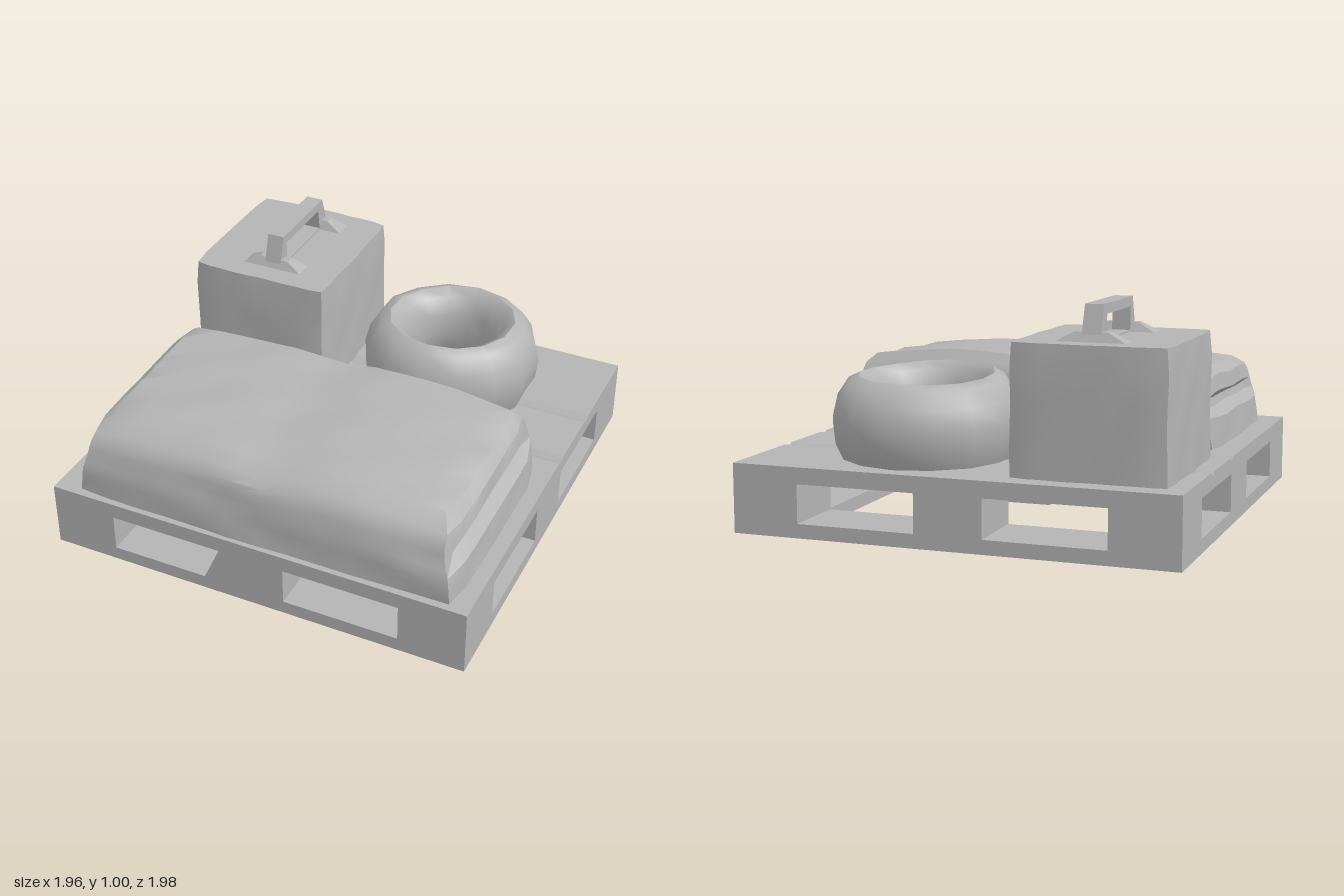
import * as THREE from 'three';
import { mergeVertices, toCreasedNormals } from 'three/addons/utils/BufferGeometryUtils.js';

const grey = new THREE.MeshStandardMaterial({ color: 0xb4b4b4 });
grey.name = 'plain grey';

function add(parent, name, geo) {
  const mesh = new THREE.Mesh(geo, grey);
  mesh.name = name;
  parent.add(mesh);
  return mesh;
}

// Position-based wobble for a worn, soft look
const wobble = (a, b, c) => Math.sin(a * 7.3 + b * 4.1) * Math.cos(c * 6.7 + a * 2.9);

// Moves every vertex by a rule, welds the seams and keeps only sharp edges creased
function warp(geo, rule, crease = 0.7) {
  geo.deleteAttribute('normal');
  geo.deleteAttribute('uv');
  const g = mergeVertices(geo, 1e-4);
  const p = g.attributes.position;
  for (let i = 0; i < p.count; i++) p.setXYZ(i, ...rule(p.getX(i), p.getY(i), p.getZ(i)));
  return toCreasedNormals(g, crease);
}

// Piecewise linear lookup: pairs of [position, value]
function curve(pairs, t) {
  let i = 0;
  while (i < pairs.length - 2 && t > pairs[i + 1][0]) i++;
  const [a, va] = pairs[i], [b, vb] = pairs[i + 1];
  return va + (vb - va) * THREE.MathUtils.clamp((t - a) / (b - a), 0, 1);
}

function outline(points, Type = THREE.Shape) {
  return new Type(points.map(([x, y]) => new THREE.Vector2(x, y)));
}

function extrude(shape, depth) {
  return new THREE.ExtrudeGeometry(shape, { depth, bevelEnabled: false });
}

function makePallet() {
  const pallet = new THREE.Group();
  pallet.name = 'pallet';
  const X = 0.98, Z = 0.99;

  // Deck with shallow grooves between the boards
  const top = [];
  for (const z of [-0.5, -0.15]) top.push([z - 0.03, 0.312], [z, 0.293], [z + 0.03, 0.312]);
  const deck = extrude(outline([[-Z, 0.24], [-Z, 0.312], ...top, [Z, 0.312], [Z, 0.24]].reverse()), 2 * X);
  deck.rotateY(-Math.PI / 2).translate(X, 0, 0);
  add(pallet, 'deck', deck);

  // Bottom frame with a square opening
  const rect = (a, b) => [[-a, -b], [a, -b], [a, b], [-a, b]];
  const ring = outline(rect(X, Z));
  ring.holes.push(outline(rect(0.69, 0.69).reverse(), THREE.Path));
  add(pallet, 'bottomFrame', extrude(ring, 0.062).rotateX(-Math.PI / 2).translate(0, 0.008, 0));

  // Nine spacer blocks, the centre one hanging free of the frame
  for (const ix of [-1, 0, 1]) for (const iz of [-1, 0, 1]) {
    const centre = !ix && !iz;
    const low = centre ? 0.04 : 0.05;
    const block = new THREE.BoxGeometry(0.3, 0.25 - low, 0.31);
    block.translate(ix * (X - 0.15), (0.25 + low) / 2, iz * (Z - 0.155));
    const p = block.attributes.position;
    // The front middle block leans outwards at its foot
    if (!ix && iz === 1) for (let i = 0; i < p.count; i++)
      if (p.getX(i) < 0 && p.getY(i) < 0.1) p.setX(i, -0.24);
    block.computeVertexNormals();
    add(pallet, centre ? 'centreBlock' : 'spacerBlock', block);
  }
  return pallet;
}

// Wrapped bundle: a slumped block with a fold pressed into each end
function makeBundle() {
  const front = [[0, 0.965], [0.4, 0.955], [0.78, 0.925], [0.9, 0.88], [1, 0.79]];
  const back = [[0, -0.02], [0.5, -0.045], [0.8, -0.01], [1, 0.05]];
  const end = [[0, 0.9], [0.4, 0.885], [0.6, 0.865], [0.9, 0.845], [1, 0.8]];
  const fold = [[0.4, 0], [0.5, 0.045], [0.6, 0.045], [0.7, 0]];
  const height = [[-0.85, 0.645], [-0.7, 0.655], [-0.25, 0.675], [0, 0.66], [0.15, 0.685], [0.5, 0.685], [0.85, 0.64]];
  return warp(new THREE.BoxGeometry(2, 1, 2, 12, 10, 8), (u, v, w) => {
    const t = v + 0.5;
    const inset = Math.abs(w) < 0.8 ? curve(fold, t) : 0;
    const x = 0.015 + u * (curve(end, t) - inset) * (1 - 0.03 * w ** 8);
    const z0 = curve(back, t), z1 = curve(front, t);
    const z = THREE.MathUtils.lerp(z0, z1, (w * (1 - 0.02 * u ** 8) + 1) / 2);
    const crown = curve(height, x) + (0.4 - z) * 0.04;
    const n = 0.007 * wobble(u, v * 2, w);
    return [x + n * 0.6, 0.305 + (crown - 0.305) * t + n * t, z + n];
  }, 0.6);
}

// Jerry can body: a soft box with rounded upright corners
function makeCanBody() {
  return warp(new THREE.BoxGeometry(2, 1, 2, 10, 5, 8), (u, v, w) => {
    const t = v + 0.5;
    const taper = t === 1 ? 0.98 : 1;
    const x = -0.56 + u * 0.34 * (1 - 0.035 * w ** 8) * taper;
    const z = -0.53 + w * 0.368 * (1 - 0.035 * u ** 8) * taper;
    const n = 0.005 * wobble(u, v * 2, w);
    return [x + n, 0.305 + 0.558 * t, z + n];
  }, 0.6);
}

function makeHandle() {
  const shape = outline([[-0.79, 0.855], [-0.28, 0.855], [-0.325, 1.012], [-0.735, 1.012]]);
  shape.holes.push(outline([[-0.705, 0.87], [-0.69, 0.97], [-0.355, 0.97], [-0.36, 0.87]], THREE.Path));
  return extrude(shape, 0.08).rotateY(-Math.PI / 2).translate(-0.5, 0, 0);
}

// Tyre: a rounded ring, tilted slightly down towards the back
function makeTyre() {
  const profile = [[0.24, 0], [0.37, 0], [0.405, 0.08], [0.415, 0.18], [0.395, 0.27], [0.345, 0.345],
    [0.295, 0.367], [0.245, 0.335], [0.21, 0.25], [0.2, 0.15], [0.21, 0.06], [0.24, 0]];
  const points = profile.map(([r, y]) => new THREE.Vector2(r, y));
  return warp(new THREE.LatheGeometry(points, 14), (x, y, z) => {
    const n = 1 + 0.015 * wobble(x * 2, y * 3, z * 2);
    return [0.28 + x * n, 0.305 + y * (1 + 0.14 * z) * n, -0.53 + z * n * 1.02];
  }, 0.9);
}

export function createModel() {
  const model = new THREE.Group();
  model.name = 'loadedPallet';
  model.add(makePallet());
  add(model, 'wrappedBundle', makeBundle());

  const can = new THREE.Group();
  can.name = 'jerryCan';
  add(can, 'canBody', makeCanBody());
  add(can, 'canHandle', makeHandle());
  // Low mounds where the handle meets the can
  for (const side of [-1, 1]) {
    const foot = new THREE.CylinderGeometry(0.1, 0.22, 0.045, 4, 1).rotateY(Math.PI / 4).scale(1, 1, 0.3);
    add(can, 'handleFoot', foot.translate(-0.54, 0.88, -0.535 + side * 0.215).toNonIndexed()).geometry.computeVertexNormals();
  }
  model.add(can);

  add(model, 'tyre', makeTyre());
  return model;
}
